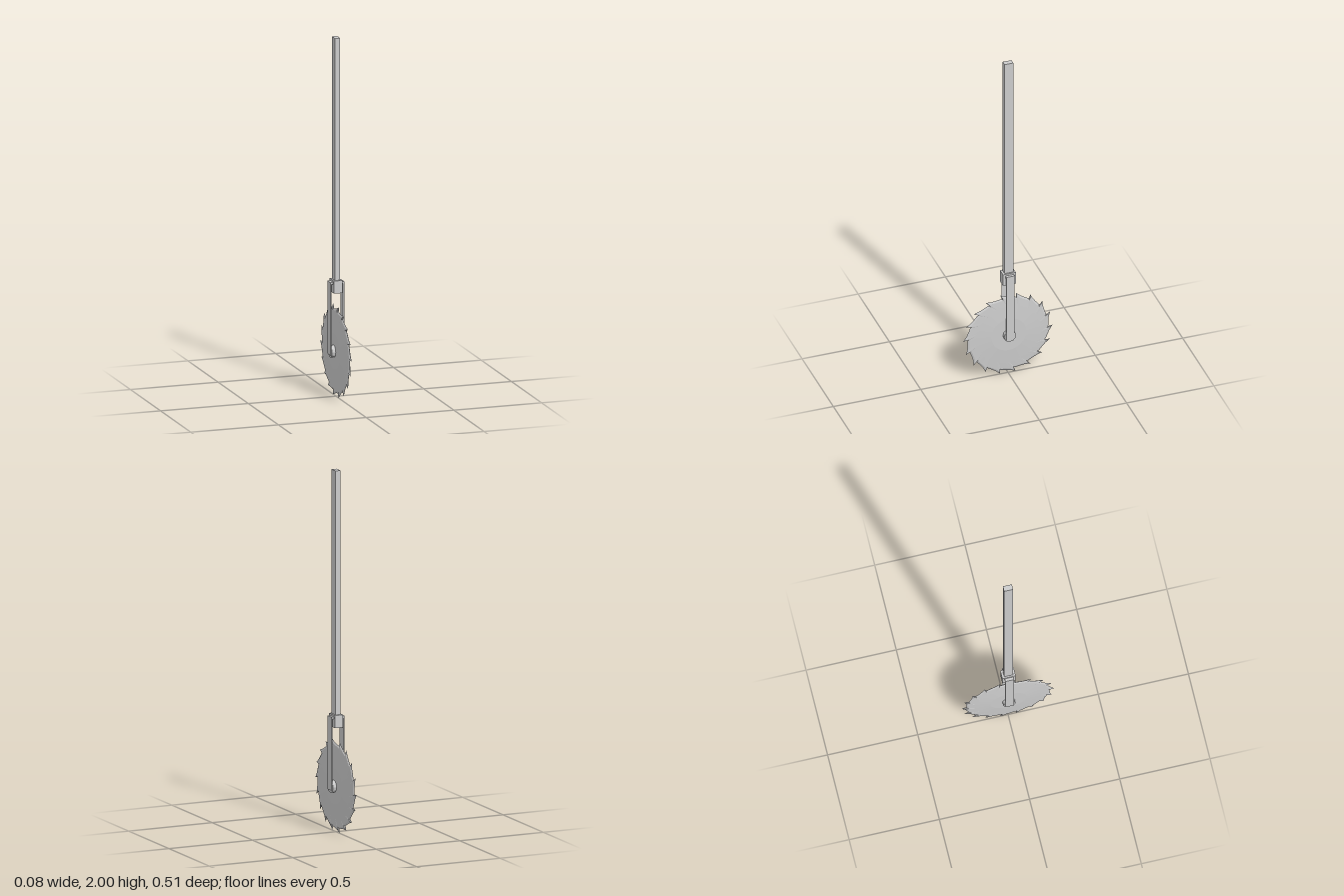
import * as THREE from 'three';

const HUB_Y = 0.257;
const TEETH = 18;

function material() {
  return new THREE.MeshStandardMaterial({ color: 0xcccccc, flatShading: true });
}

// Lens-shaped disc with hooked teeth, made of concentric rings around the x axis
function bladeGeometry() {
  // One tooth: [turn within pitch, radius] on the cutting edge and on the bevel line
  const edge = [[0, 0.231], [0.35, 0.233], [0.68, 0.24], [1.0, 0.256], [0.92, 0.228]];
  const bevel = [[0, 0.221], [0.35, 0.223], [0.66, 0.228], [0.92, 0.241], [0.88, 0.22]];
  const circle = (r) => edge.map((_, k) => [k / edge.length, r]);
  const rings = [
    { profile: circle(0), half: 0.013 },
    { profile: circle(0.1), half: 0.013 },
    { profile: circle(0.18), half: 0.008 },
    { profile: bevel, half: 0.005 },
    { profile: edge, half: 0 },
  ];
  const m = edge.length;
  const point = ({ profile, half }, j, side) => {
    const [t, r] = profile[j % m];
    const a = -((Math.floor(j / m) + t) / TEETH) * Math.PI * 2;
    return [side * half, r * Math.sin(a), r * Math.cos(a)];
  };
  const pos = [];
  for (const side of [1, -1]) {
    for (let i = 0; i < rings.length - 1; i++) {
      for (let j = 0; j < TEETH * m; j++) {
        const a = point(rings[i], j, side), b = point(rings[i + 1], j, side);
        const c = point(rings[i + 1], j + 1, side), d = point(rings[i], j + 1, side);
        const tris = i === 0 ? [[a, b, c]] : [[a, b, c], [a, c, d]];
        for (const [p, q, s] of tris) pos.push(...p, ...(side > 0 ? q : s), ...(side > 0 ? s : q));
      }
    }
  }
  const g = new THREE.BufferGeometry();
  g.setAttribute('position', new THREE.Float32BufferAttribute(pos, 3));
  g.computeVertexNormals();
  return g;
}

export function createModel() {
  const model = new THREE.Group();
  model.name = 'sawOnPole';

  const add = (name, geometry, x, y, z = 0) => {
    const mesh = new THREE.Mesh(geometry, material());
    mesh.name = name;
    mesh.position.set(x, y, z);
    model.add(mesh);
    return mesh;
  };
  const box = (name, x0, x1, y0, y1, depth) =>
    add(name, new THREE.BoxGeometry(x1 - x0, y1 - y0, depth), (x0 + x1) / 2, (y0 + y1) / 2);

  // Pole and the socket it stands in
  box('pole', -0.015, 0.015, 0.65, 2, 0.05);
  box('socket', -0.024, 0.024, 0.585, 0.655, 0.074);

  // Fork: a bent strap and a hub boss on each side
  for (const side of [1, -1]) {
    const label = side > 0 ? 'left' : 'right';
    const span = (a, b) => (side > 0 ? [a, b] : [-b, -a]);
    box(label + 'ForkArm', ...span(0.033, 0.04), 0.24, 0.645, 0.048);
    box(label + 'ForkBridge', ...span(0.02, 0.034), 0.634, 0.645, 0.048);
    const boss = new THREE.CylinderGeometry(0.034, 0.034, 0.026, 12).rotateZ(Math.PI / 2);
    add(label + 'HubBoss', boss, side * 0.021, HUB_Y);
  }

  // Saw blade
  add('blade', bladeGeometry(), 0, HUB_Y);
  return model;
}
